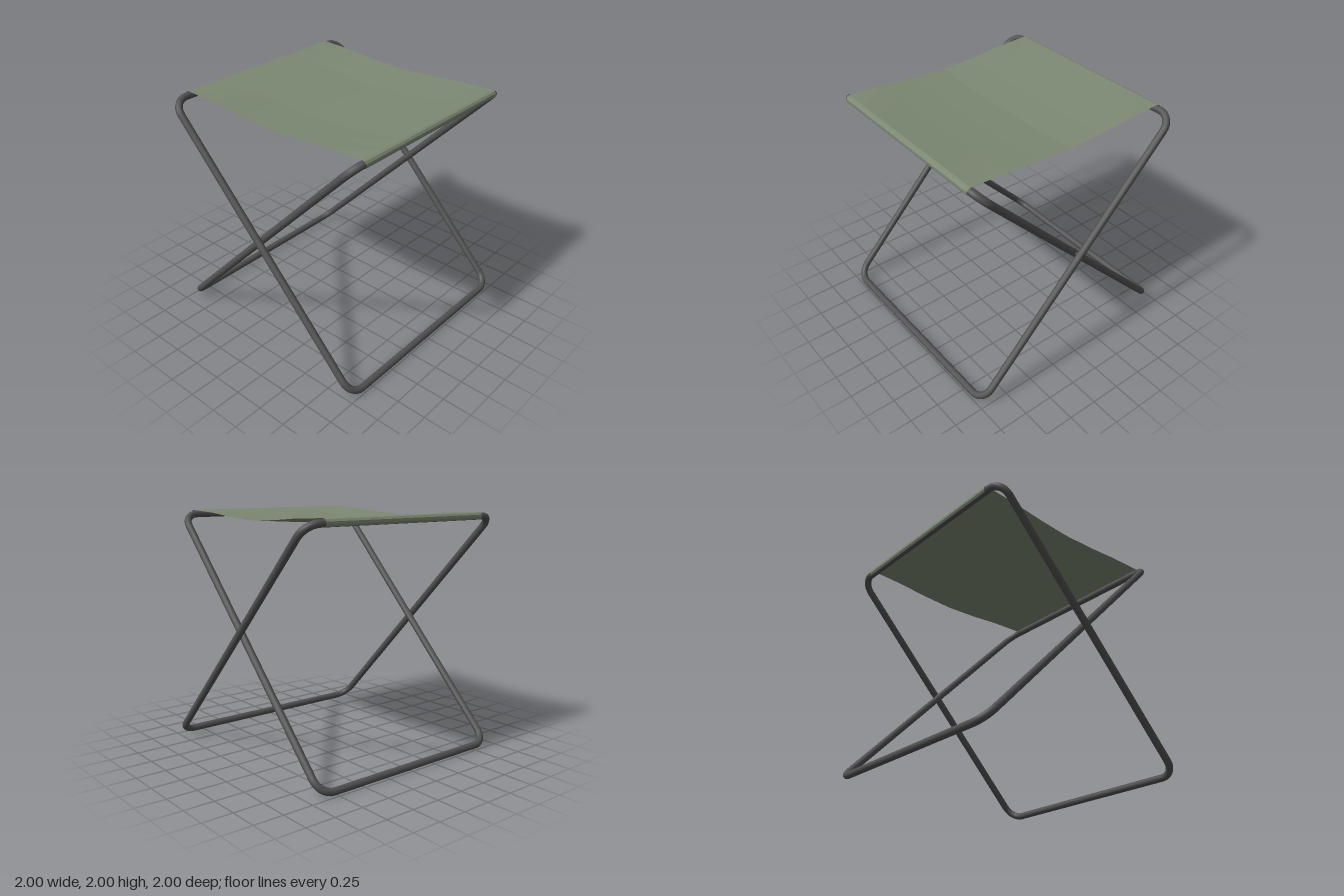
import * as THREE from 'three';

const TUBE = 0.03;
const steel = new THREE.MeshStandardMaterial({ color: 0x505050 });
const canvas = new THREE.MeshStandardMaterial({ color: 0x7c8873, side: THREE.DoubleSide, flatShading: true });

// Closed round tube bent into a rounded rectangle in the local yz plane
function bentTube(halfLength, halfWidth, corner, radius, bends = 7, sides = 12) {
  const pos = [], normal = [], index = [];
  const rings = 4 * (bends + 1);
  for (let c = 0; c < 4; c++) {
    const cy = (c === 0 || c === 3 ? 1 : -1) * (halfLength - corner);
    const cz = (c < 2 ? 1 : -1) * (halfWidth - corner);
    for (let i = 0; i <= bends; i++) {
      const a = (c + i / bends) * Math.PI / 2;
      const ny = Math.cos(a), nz = Math.sin(a);
      for (let j = 0; j <= sides; j++) {
        const b = j / sides * Math.PI * 2, out = Math.cos(b), up = Math.sin(b);
        normal.push(up, ny * out, nz * out);
        pos.push(radius * up, cy + ny * (corner + radius * out), cz + nz * (corner + radius * out));
      }
    }
  }
  for (let r = 0; r < rings; r++) {
    const p = r * (sides + 1), q = ((r + 1) % rings) * (sides + 1);
    for (let j = 0; j < sides; j++) {
      index.push(p + j, q + j, p + j + 1, q + j, q + j + 1, p + j + 1);
    }
  }
  const g = new THREE.BufferGeometry();
  g.setAttribute('position', new THREE.Float32BufferAttribute(pos, 3));
  g.setAttribute('normal', new THREE.Float32BufferAttribute(normal, 3));
  g.setIndex(index);
  return g;
}

// Frame leaning between a top bar and a bottom bar, given as (x, y) centres
function frame(name, top, bottom, halfWidth) {
  const dx = top[0] - bottom[0], dy = top[1] - bottom[1];
  const mesh = new THREE.Mesh(bentTube(Math.hypot(dx, dy) / 2, halfWidth, 0.13, TUBE), steel);
  mesh.position.set((top[0] + bottom[0]) / 2, (top[1] + bottom[1]) / 2, 0);
  mesh.rotation.z = -Math.atan2(dx, dy);
  mesh.name = name;
  return mesh;
}

// Sagging cloth whose two ends wrap around the top bars
function seatCloth(leftBar, rightBar) {
  const wrap = 0.034, profile = [];
  const hem = (bar, side) => [140, 105, 70, 35, 0].map(d => {
    const a = d * Math.PI / 180;
    const p = [bar[0] + side * wrap * Math.sin(a), bar[1] + wrap * Math.cos(a), 0, 0];
    return p;
  });
  // each entry: x, y, sag at the middle, sag at the free edge
  profile.push(...hem(leftBar, -1));
  [-0.6, -0.3, 0, 0.3, 0.6].forEach((x, i) => {
    const k = Math.abs(i - 2);
    profile.push([x, 2, [0.078, 0.065, 0.035][k], [0.052, 0.038, 0.012][k]]);
  });
  profile.push(...hem(rightBar, 1).reverse());

  const rows = [-0.81, -0.6, -0.4, -0.2, 0, 0.2, 0.4, 0.6, 0.81];
  const g = new THREE.PlaneGeometry(1, 1, profile.length - 1, rows.length - 1).rotateX(-Math.PI / 2);
  const p = g.attributes.position;
  rows.forEach((z, r) => profile.forEach(([x, y, mid, edge], c) => {
    const t = Math.min(1, (0.81 - Math.abs(z)) / 0.41);
    p.setXYZ(r * profile.length + c, x, y - edge - (mid - edge) * t, z);
  }));
  g.computeVertexNormals();
  const mesh = new THREE.Mesh(g, canvas);
  mesh.name = 'seatCloth';
  return mesh;
}

export function createModel() {
  const stool = new THREE.Group();
  stool.name = 'foldingStool';
  const topA = [-0.892, 1.966], topB = [0.906, 1.966];
  stool.add(frame('outerFrame', topA, [0.967, 0.03], 0.97));
  stool.add(frame('innerFrame', topB, [-0.97, 0.034], 0.905));
  stool.add(seatCloth(topA, topB));

  // pivot pins where the frames cross
  for (const s of [1, -1]) {
    const pin = new THREE.Mesh(new THREE.CylinderGeometry(0.014, 0.014, 0.11, 10).rotateX(Math.PI / 2), steel);
    pin.position.set(0, 1.04, s * 0.935);
    pin.name = 'pivotPin';
    stool.add(pin);
  }
  return stool;
}
